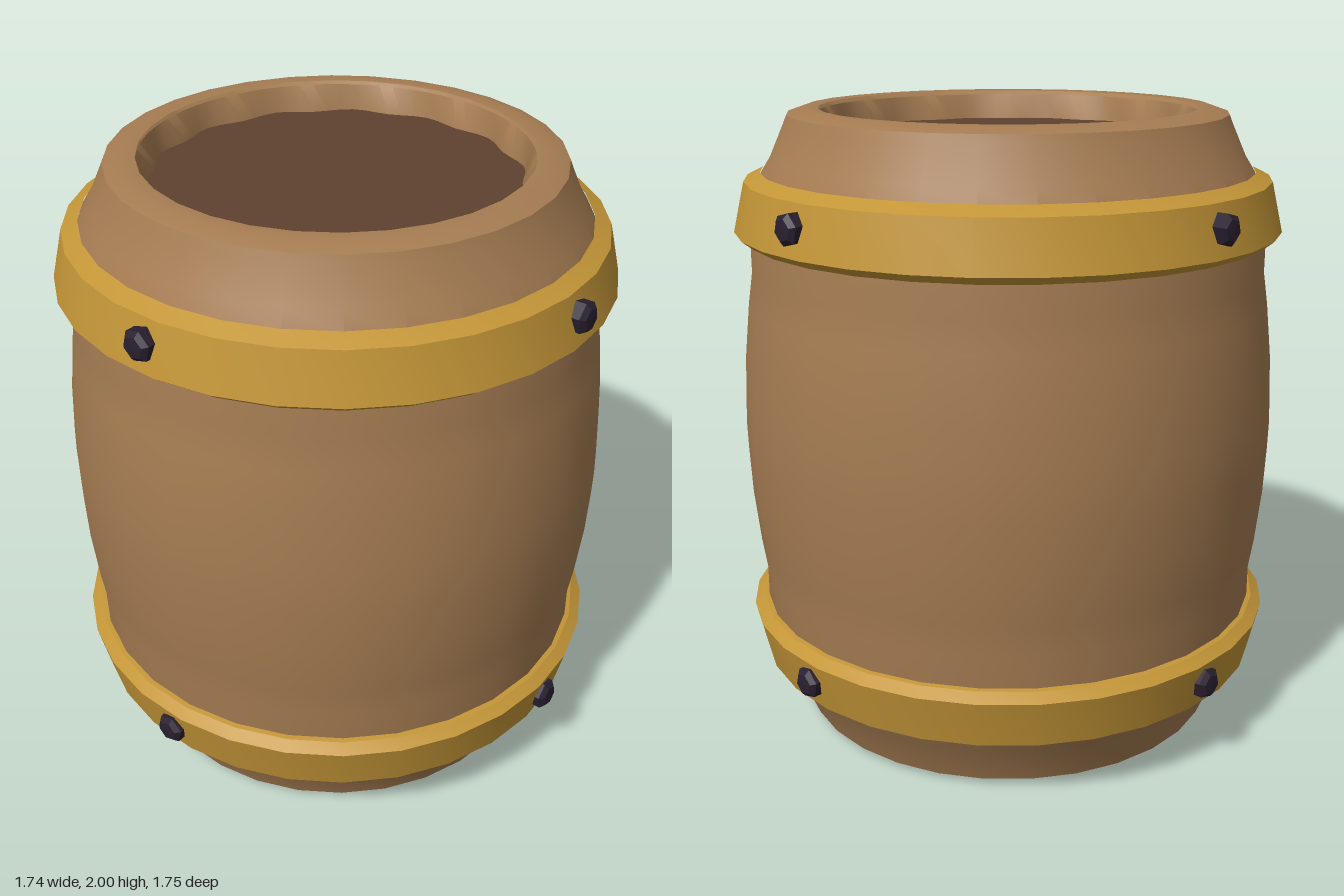
import * as THREE from 'three';
import { toCreasedNormals } from 'three/addons/utils/BufferGeometryUtils.js';

const SIDES = 30;
const Z_STRETCH = 1.012;

const wood = new THREE.MeshStandardMaterial({ color: 0xa57c52 });
const darkWood = new THREE.MeshStandardMaterial({ color: 0x5f4230 });
const brass = new THREE.MeshStandardMaterial({ color: 0xc39537 });
const iron = new THREE.MeshStandardMaterial({ color: 0x2a2030 });

// Turned part from [radius, height] pairs, smooth around and sharp at strong edges
function turned(name, profile, material, sides = SIDES, shape = null) {
  const points = profile.map(([r, y]) => new THREE.Vector2(r, y));
  let geometry = new THREE.LatheGeometry(points, sides, Math.PI / 2);
  if (shape) shape(geometry);
  geometry = toCreasedNormals(geometry, 0.42);
  const mesh = new THREE.Mesh(geometry, material);
  mesh.name = name;
  return mesh;
}

// Ripple the inner edge of a ring in and out
function ripple(geometry) {
  const p = geometry.attributes.position;
  for (let i = 0; i < p.count; i++) {
    const x = p.getX(i), z = p.getZ(i);
    if (Math.hypot(x, z) > 0.59) continue;
    const k = 1 + 0.02 * Math.cos(14 * Math.atan2(z, x));
    p.setX(i, x * k);
    p.setZ(i, z * k);
  }
}

function disc(name, radius, y, facing) {
  const mesh = new THREE.Mesh(new THREE.CircleGeometry(radius, SIDES), darkWood);
  mesh.name = name;
  mesh.rotation.x = -facing * Math.PI / 2;
  mesh.position.y = y;
  return mesh;
}

// Faceted rivet head pointing outward at a given angle
function rivet(angle, y) {
  const profile = [[0.05, -0.03], [0.05, 0.012], [0.034, 0.026], [0, 0.028]]
    .map(([r, h]) => new THREE.Vector2(r, h));
  const geometry = new THREE.LatheGeometry(profile, 6).toNonIndexed();
  geometry.computeVertexNormals();
  const mesh = new THREE.Mesh(geometry, iron);
  mesh.name = 'rivet';
  const out = new THREE.Vector3(Math.cos(angle), 0, Math.sin(angle));
  mesh.quaternion.setFromUnitVectors(new THREE.Vector3(0, 1, 0), out);
  mesh.position.copy(out).multiplyScalar(0.862).setY(y);
  return mesh;
}

export function createModel() {
  const model = new THREE.Group();
  model.name = 'barrel';
  const body = new THREE.Group();
  body.name = 'body';
  body.scale.z = Z_STRETCH;
  model.add(body);

  // Bulging wall with tapered shoulders, mirrored about mid height
  const half = [[0.64, 0.002], [0.692, 0.018], [0.703, 0.045], [0.75, 0.15], [0.785, 0.205],
    [0.82, 0.4], [0.82, 0.5], [0.835, 0.6], [0.853, 0.77], [0.86, 0.92]];
  const upper = half.map(([r, y]) => [r, 2 - y]).reverse();
  upper[upper.length - 1][1] = 2;
  body.add(turned('wall', [...half, [0.862, 1], ...upper, [0.595, 1.998]], wood));

  // Rippled inner lip above the sunken lid
  body.add(turned('innerLip', [[0.61, 1.9985], [0.595, 1.985], [0.568, 1.91], [0.565, 1.89]],
    wood, 84, ripple));
  body.add(disc('lid', 0.61, 1.905, 1));
  body.add(disc('base', 0.665, 0, -1));

  // Two flared hoops, the lower one mirroring the upper
  const hoop = [[0.79, 1.595], [0.835, 1.603], [0.868, 1.628], [0.832, 1.782], [0.78, 1.808]];
  body.add(turned('upperHoop', hoop, brass));
  body.add(turned('lowerHoop', hoop.map(([r, y]) => [r, 2 - y]).reverse(), brass));

  // Four rivets on each hoop
  for (const y of [0.305, 1.71]) {
    for (let i = 0; i < 4; i++) model.add(rivet(Math.PI / 4 + i * Math.PI / 2, y));
  }
  return model;
}
